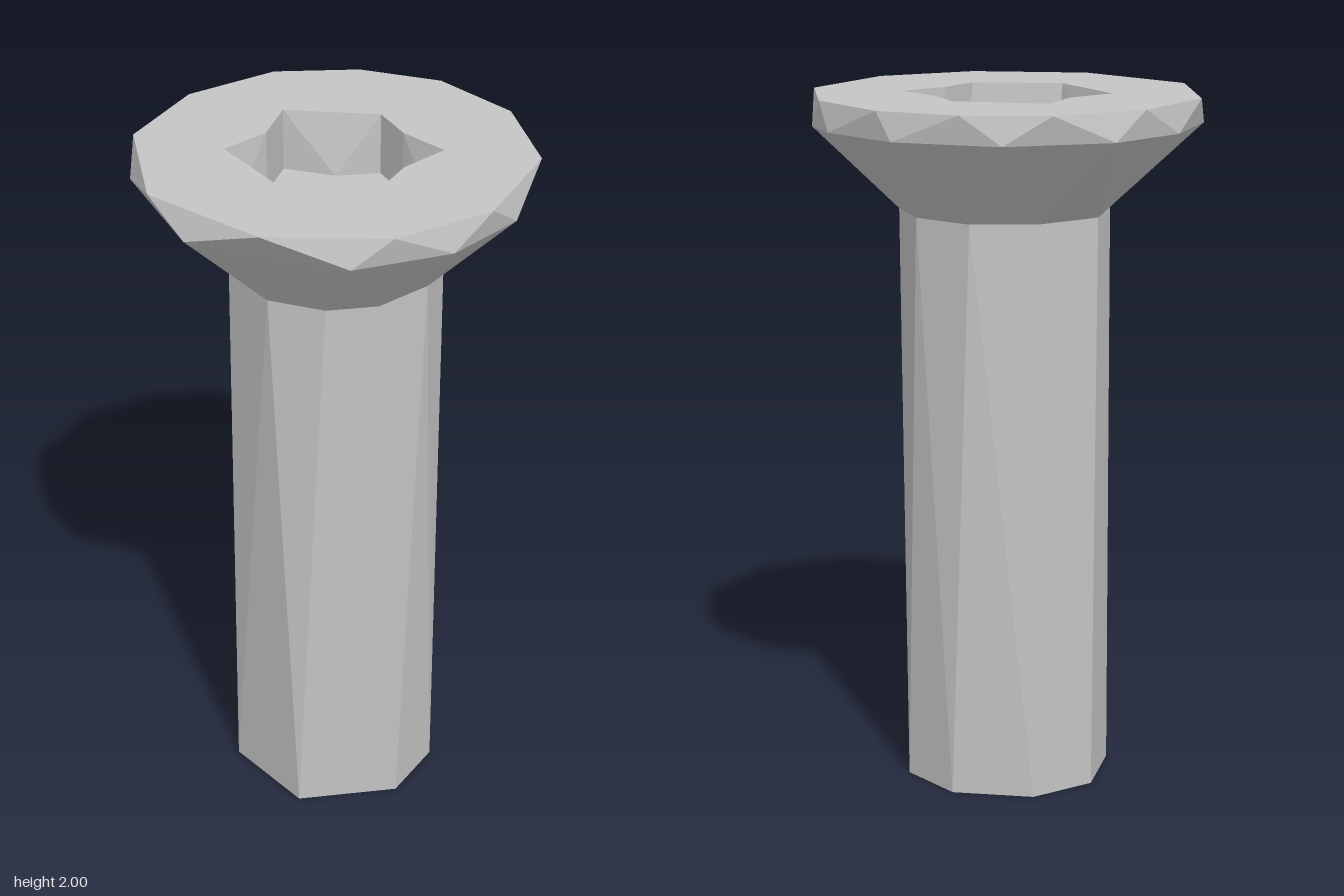
import * as THREE from 'three';

// Each cross-section is a list of [x, z] corners, sorted by angle around the axis
const angle = ([x, z]) => Math.atan2(x, z);
const section = (y, pts) => ({ y, pts: pts.sort((a, b) => angle(a) - angle(b)) });

const tip = section(0, [
  [0.06, 0.31], [0.285, 0.12], [0.285, -0.09], [0.17, -0.25],
  [-0.03, -0.3], [-0.24, -0.19], [-0.31, 0], [-0.22, 0.21]]);
const neck = section(1.67, [
  [-0.215, 0.21], [-0.03, 0.305], [0.135, 0.275], [0.245, 0.18], [0.3, 0.01],
  [0.245, -0.18], [0.1, -0.285], [-0.09, -0.29], [-0.24, -0.18], [-0.305, 0.02]]);
const rim = section(1.92, [
  [-0.03, -0.555], [0.23, -0.505], [0.355, -0.425], [0.55, -0.015], [0.5, 0.235], [0.32, 0.455],
  [-0.135, 0.54], [-0.47, 0.3], [-0.55, 0.05], [-0.52, -0.21], [-0.325, -0.455]]);
const top = section(2, [
  [0.02, -0.555], [0.29, -0.47], [0.505, -0.24], [0.545, 0.11], [0.405, 0.38], [0.105, 0.55],
  [-0.28, 0.49], [-0.525, 0.2], [-0.545, -0.105], [-0.425, -0.365], [-0.22, -0.505]]);
const socketTop = section(2, [
  [-0.26, -0.15], [-0.01, -0.265], [0.105, -0.19], [0.255, -0.15], [0.215, 0],
  [0.225, 0.14], [0, 0.275], [-0.26, 0.15], [-0.22, 0]]);
const socketBase = section(1.82, [
  [-0.26, -0.15], [-0.11, -0.185], [-0.01, -0.265], [0.105, -0.19], [0.225, -0.14], [0.225, -0.04],
  [0.215, 0], [0.225, 0.115], [0, 0.25], [-0.24, 0.125], [-0.22, 0]]);

// Joins two sections with triangles, always stepping to the nearest next corner
function wall(lower, upper) {
  const a = lower.pts, b = upper.pts, pos = [];
  const put = (s, k) => {
    const [x, z] = s.pts[k % s.pts.length];
    pos.push(x, s.y, z);
  };
  const next = (p, k) => angle(p[k % p.length]) + (k >= p.length ? Math.PI * 2 : 0);
  let i = 0, j = 0;
  while (i < a.length || j < b.length) {
    const stepLower = j >= b.length || (i < a.length && next(a, i + 1) <= next(b, j + 1));
    put(lower, i);
    if (stepLower) { put(lower, i + 1); put(upper, j); i++; }
    else { put(upper, j + 1); put(upper, j); j++; }
  }
  const g = new THREE.BufferGeometry();
  g.setAttribute('position', new THREE.Float32BufferAttribute(pos, 3));
  g.computeVertexNormals();
  return g;
}

// Flat face filling a section, facing up (dir 1) or down (dir -1)
function cap(s, dir, hole) {
  const points = (q) => q.pts.map(([x, z]) => new THREE.Vector2(x, -dir * z));
  const shape = new THREE.Shape(points(s));
  if (hole) shape.holes.push(new THREE.Path(points(hole)));
  return new THREE.ShapeGeometry(shape).rotateX(-dir * Math.PI / 2).translate(0, s.y, 0);
}

export function createModel() {
  const model = new THREE.Group();
  model.name = 'countersunkScrew';
  const steel = new THREE.MeshStandardMaterial({ color: 0xc4c4c4 });
  steel.name = 'steel';
  steel.flatShading = true;
  const add = (name, geometry) => {
    const mesh = new THREE.Mesh(geometry, steel);
    mesh.name = name;
    model.add(mesh);
  };

  // Shank
  add('shank', wall(tip, neck));
  add('shankEnd', cap(tip, -1));
  // Head
  add('headCone', wall(neck, rim));
  add('headRim', wall(rim, top));
  add('headFace', cap(top, 1, socketTop));
  // Star drive recess, with walls facing inward
  add('socketWall', wall(socketTop, socketBase));
  add('socketFloor', cap(socketBase, 1));
  return model;
}
